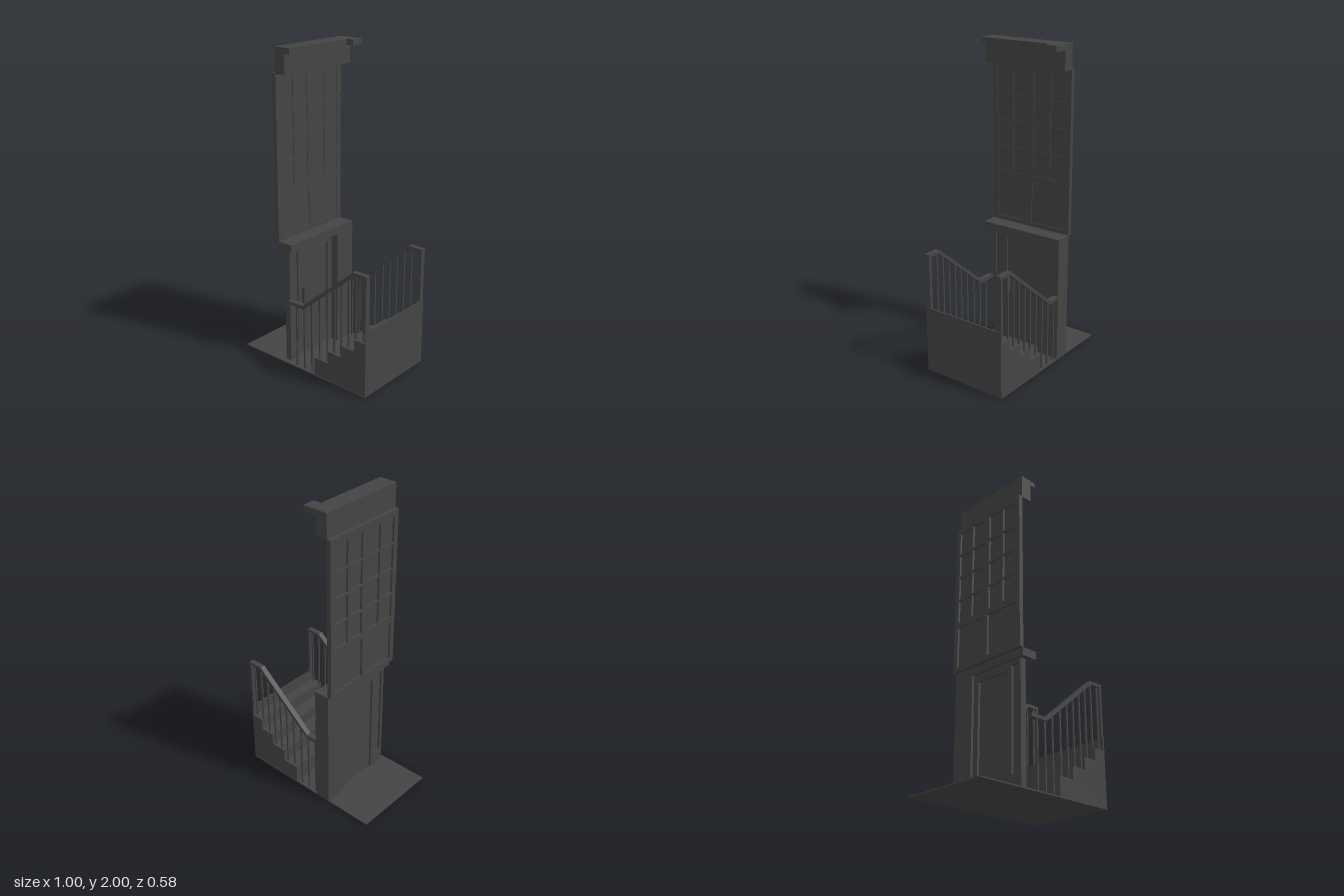
import * as THREE from 'three';

const mat = new THREE.MeshStandardMaterial({ color: 0x444444, flatShading: true, side: THREE.DoubleSide });

export function createModel() {
  const root = new THREE.Group();

  const add = (name, geo, parent = root) => {
    const m = new THREE.Mesh(geo, mat);
    m.name = name;
    parent.add(m);
    return m;
  };
  // Box given by its limits on each axis
  const box = (name, x0, x1, y0, y1, z0, z1, parent) => {
    const m = add(name, new THREE.BoxGeometry(x1 - x0, y1 - y0, z1 - z0), parent);
    m.position.set((x0 + x1) / 2, (y0 + y1) / 2, (z0 + z1) / 2);
    return m;
  };
  const shapeOf = pts => new THREE.Shape(pts.map(p => new THREE.Vector2(...p)));
  // Profile in x,y swept from z0 to z1
  const sweep = (name, pts, z0, z1, parent) => {
    const g = new THREE.ExtrudeGeometry(shapeOf(pts), { depth: z1 - z0, bevelEnabled: false });
    return add(name, g.translate(0, 0, z0), parent);
  };
  const rect = (z0, z1, y0, y1) => [[z0, y0], [z1, y0], [z1, y1], [z0, y1]];
  // Panel facing x, outlined in z,y with rectangular holes
  const panel = (name, x0, x1, outline, holes, parent) => {
    const s = shapeOf(outline.map(([z, y]) => [-z, y]));
    holes.forEach(h => s.holes.push(new THREE.Path(h.map(([z, y]) => new THREE.Vector2(-z, y)))));
    const g = new THREE.ExtrudeGeometry(s, { depth: x1 - x0, bevelEnabled: false });
    return add(name, g.rotateY(Math.PI / 2).translate(x0, 0, 0), parent);
  };

  box('ground', -0.5, 0.497, 0, 0.008, -0.29, 0.29);

  // Solid flight of steps with a thin top riser
  const steps = [[0.1, 0.125], [0.21, 0.205], [0.315, 0.28], [0.41, 0.355], [0.488, 0.43]];
  const profile = [[0.1, 0]];
  steps.forEach(([x, y], i) => {
    profile.push([x, y], [i < 4 ? steps[i + 1][0] : 0.497, y]);
  });
  profile.push([0.497, 0]);
  sweep('stairs', profile, -0.288, 0.288);

  // Railings on both sides
  const floorAt = x => steps.reduce((h, s) => (x >= s[0] ? s[1] : h), 0);
  const railAt = x => 0.43 + 0.33 * THREE.MathUtils.clamp(x / 0.4, 0, 1);
  for (const side of [1, -1]) {
    const railing = new THREE.Group();
    railing.name = side > 0 ? 'frontRailing' : 'backRailing';
    const z = side * 0.27;
    sweep('handrail', [
      [-0.115, 0.422], [0.005, 0.422], [0.405, 0.758], [0.495, 0.758],
      [0.495, 0.778], [0.395, 0.778], [0, 0.444], [-0.115, 0.444],
    ], z - 0.017, z + 0.017, railing);
    for (const x of [-0.06, 0.003, 0.065, 0.13, 0.19, 0.245, 0.3, 0.355, 0.41, 0.467]) {
      box('baluster', x - 0.005, x + 0.005, floorAt(x), railAt(x), z - 0.005, z + 0.005, railing);
    }
    box('endPost', 0.48, 0.495, 0.42, 0.765, z - 0.017, z + 0.017, railing);
    root.add(railing);
  }

  // Lower storey: pier, lintel, door frame and recessed door
  box('pier', -0.185, -0.08, 0, 0.78, -0.29, -0.14);
  box('lintel', -0.185, -0.08, 0.77, 0.82, -0.29, 0.29);
  panel('doorFrame', -0.17, -0.13, rect(-0.14, 0.255, 0, 0.77),
    [rect(-0.1, 0.145, 0.01, 0.72), rect(0.18, 0.235, 0.1, 0.745)]);
  box('door', -0.155, -0.142, 0, 0.73, -0.11, 0.155);
  box('sidePanel', -0.155, -0.14, 0.09, 0.75, 0.17, 0.245);
  box('doorHandle', -0.143, -0.115, 0.36, 0.48, 0.125, 0.14);

  // Upper storey: two sashes of eight panes over two sunk panels
  const openings = [];
  for (const s of [1, -1]) {
    for (const [a, b] of [[0.022, 0.132], [0.146, 0.255]]) {
      for (const [y0, y1] of [[1.155, 1.305], [1.32, 1.47], [1.485, 1.635], [1.65, 1.81]]) {
        openings.push(s > 0 ? rect(a, b, y0, y1) : rect(-b, -a, y0, y1));
      }
    }
    openings.push(s > 0 ? rect(0.012, 0.255, 0.85, 1.115) : rect(-0.255, -0.012, 0.85, 1.115));
  }
  panel('windowFrame', -0.21, -0.182, rect(-0.29, 0.29, 0.82, 1.85), openings);
  box('windowPanes', -0.197, -0.187, 0.84, 1.82, -0.265, 0.265);

  // Cornice with a wider return at the back end
  box('corniceBody', -0.185, -0.11, 1.845, 1.97, -0.29, 0.29);
  panel('corniceLedge', -0.185, -0.07, rect(-0.21, 0.29, 1.965, 2), []);
  box('corniceReturn', -0.185, -0.02, 1.965, 2, -0.29, -0.21);

  return root;
}
